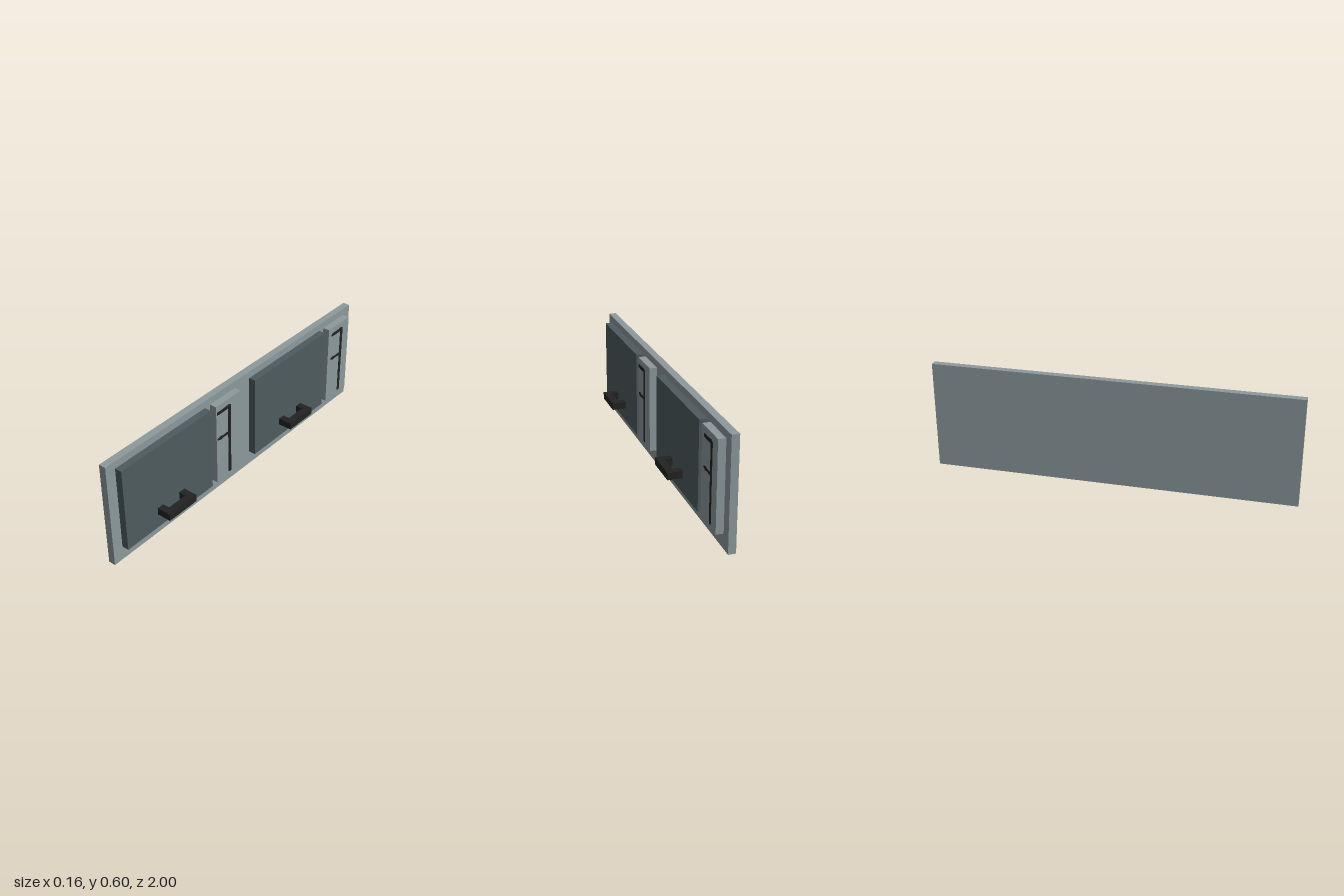
import * as THREE from 'three';

export function createModel() {
  const group = new THREE.Group();
  const material = (name, color) => {
    const m = new THREE.MeshStandardMaterial({ color });
    m.name = name;
    return m;
  };
  const paleGrey = material('paleGrey', 0x8c999c);
  const slate = material('slate', 0x4e5b5f);
  const black = material('black', 0x222222);

  // Box given by its lower and upper corners
  const box = (name, mat, [x0, y0, z0], [x1, y1, z1]) => {
    const mesh = new THREE.Mesh(new THREE.BoxGeometry(x1 - x0, y1 - y0, z1 - z0), mat);
    mesh.position.set((x0 + x1) / 2, (y0 + y1) / 2, (z0 + z1) / 2);
    mesh.name = name;
    group.add(mesh);
  };

  // Outline extruded along +x; shape axes are (-z, y) or, laid flat, (x, -z)
  const extrude = (name, points, depth) => {
    const shape = new THREE.Shape(points.map(([a, b]) => new THREE.Vector2(a, b)));
    const mesh = new THREE.Mesh(
      new THREE.ExtrudeGeometry(shape, { depth, bevelEnabled: false }), black);
    mesh.name = name;
    group.add(mesh);
    return mesh;
  };

  box('backBoard', paleGrey, [-0.08, 0, -1], [-0.04, 0.6, 1]);

  // U-shaped pull, seen from above
  const pull = [[0, -0.1], [0.08, -0.1], [0.08, 0.1], [0, 0.1],
    [0, 0.06], [0.04, 0.06], [0.04, -0.06], [0, -0.06]];

  // Upright rod with two short arms, measured from the rod's centre line
  const rod = [[-0.01, 0.1], [0.01, 0.095], [0.012, 0.49], [0.015, 0.5], [0.012, 0.52],
    [0, 0.527], [-0.05, 0.523], [-0.095, 0.523], [-0.098, 0.506], [-0.06, 0.504],
    [-0.01, 0.505], [-0.01, 0.362], [-0.055, 0.36], [-0.07, 0.365], [-0.095, 0.36],
    [-0.095, 0.35], [-0.07, 0.342], [-0.055, 0.347], [-0.01, 0.345]];

  // Two identical bays: flap with pull, narrow panel with rod
  for (const [shift, rodZ] of [[0, 0.157], [-1, -0.866]]) {
    box('flap', slate, [-0.04, 0.08, 0.3 + shift], [0, 0.56, 0.94 + shift]);
    box('sidePanel', paleGrey, [-0.04, 0.08, 0.06 + shift], [0, 0.56, 0.26 + shift]);

    const handle = extrude('handle', pull, 0.04);
    handle.rotation.x = -Math.PI / 2;
    handle.position.set(0, 0.16, 0.62 + shift);

    const latch = extrude('latchRod', rod, 0.003);
    latch.rotation.y = Math.PI / 2;
    latch.position.set(-0.001, 0, rodZ);
  }
  return group;
}
